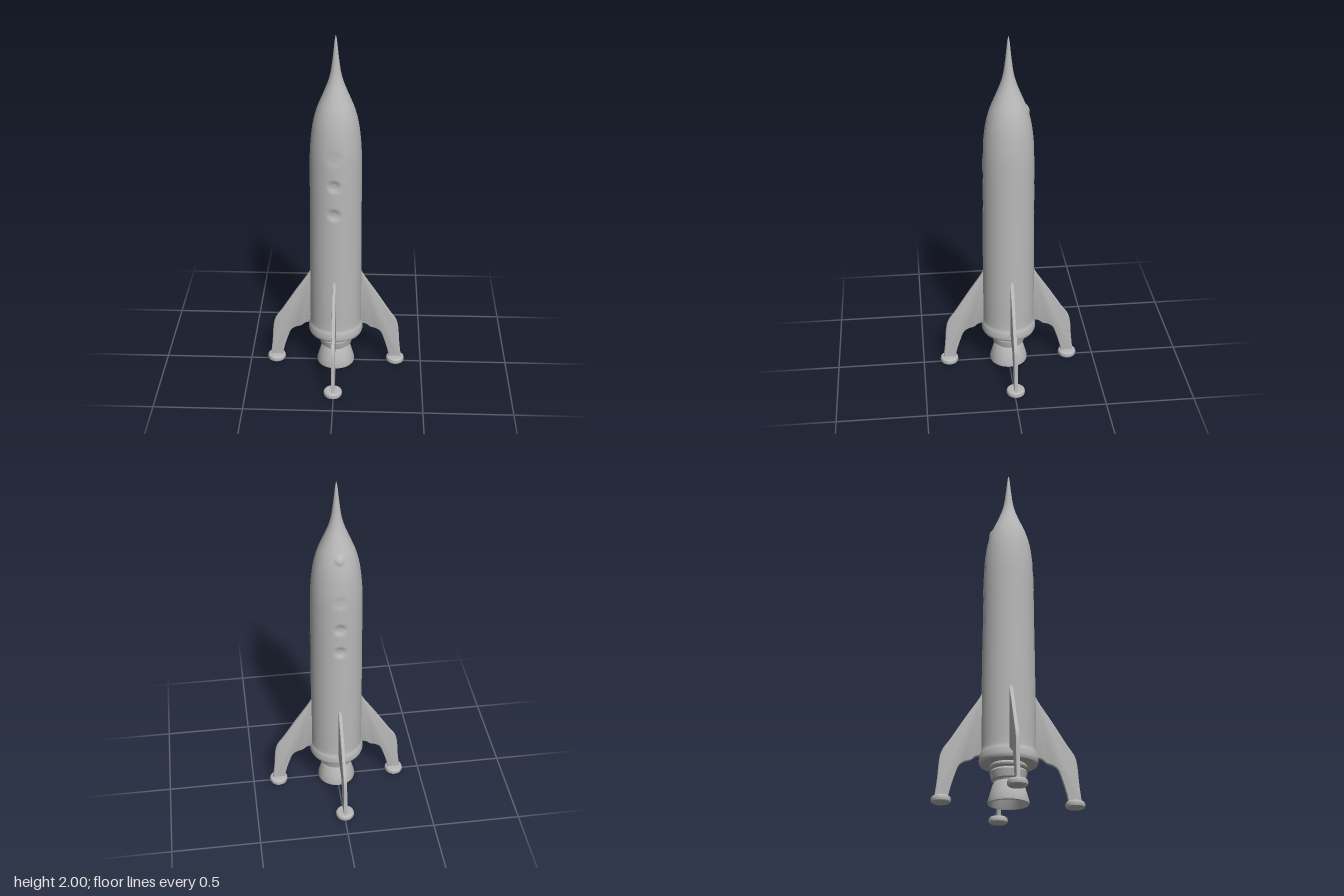
import * as THREE from 'three';
import { mergeVertices, toCreasedNormals } from 'three/addons/utils/BufferGeometryUtils.js';

const v = ([x, y]) => new THREE.Vector2(x, y);

export function createModel() {
  const rocket = new THREE.Group();
  rocket.name = 'rocket';
  const grey = new THREE.MeshStandardMaterial({ color: 0xb8b8b8 });
  grey.name = 'plain grey';

  const add = (name, geometry, parent = rocket) => {
    const mesh = new THREE.Mesh(geometry, grey);
    mesh.name = name;
    parent.add(mesh);
    return mesh;
  };
  const turned = (points, segments = 48) =>
    toCreasedNormals(new THREE.LatheGeometry(points.map(v), segments), 0.6);

  // Hull: one smooth turned skin from the flared skirt to the needle tip
  const profile = new THREE.SplineCurve([
    [0.15, 0.218], [0.156, 0.235], [0.153, 0.27], [0.146, 0.3], [0.146, 0.45], [0.145, 0.7],
    [0.143, 1.0], [0.142, 1.25], [0.139, 1.37], [0.13, 1.47], [0.118, 1.54], [0.101, 1.6],
    [0.081, 1.65], [0.06, 1.7], [0.041, 1.75], [0.028, 1.8], [0.019, 1.86], [0.012, 1.92],
    [0.006, 1.975], [0.0005, 2],
  ].map(v));
  let hull = new THREE.LatheGeometry(profile.getSpacedPoints(220), 96, Math.PI / 4);
  hull.deleteAttribute('uv');
  hull.deleteAttribute('normal');
  hull = mergeVertices(hull, 1e-5);

  // Sunken portholes front and back, and a small bump high on the back:
  // side, height, radius, depth
  const dents = [
    [1, 1.2, 0.03, -0.01], [1, 1.03, 0.03, -0.01], [1, 1.36, 0.04, -0.003],
    [-1, 1.18, 0.03, -0.01], [-1, 1.03, 0.03, -0.01], [-1, 1.35, 0.035, -0.004],
    [-1, 1.595, 0.022, 0.008],
  ];
  const pos = hull.attributes.position;
  for (let i = 0; i < pos.count; i++) {
    const x = pos.getX(i), y = pos.getY(i), z = pos.getZ(i);
    let push = 0;
    for (const [side, height, radius, depth] of dents) {
      if (z * side <= 0) continue;
      const d = Math.hypot(x + 0.004, y - height) / radius;
      push += depth * Math.exp(-(d ** 4));
    }
    const k = 1 + push / Math.max(Math.hypot(x, z), 0.01);
    pos.setXYZ(i, x * k, y, z * k);
  }
  hull.computeVertexNormals();
  add('hull', hull);
  add('hullUnderside', turned([[0, 0.218], [0.151, 0.218]], 96));

  // Engine: two collars and a hollow bell
  add('engine', turned([
    [0, 0.12], [0.055, 0.12], [0.075, 0.07], [0.096, 0.012], [0.1, 0.006],
    [0.108, 0.008], [0.109, 0.02], [0.098, 0.06], [0.085, 0.105], [0.076, 0.122],
    [0.08, 0.13], [0.09, 0.135], [0.099, 0.175], [0.094, 0.184], [0.075, 0.186],
    [0.078, 0.192], [0.097, 0.197], [0.1, 0.205], [0.098, 0.213], [0.085, 0.222],
  ]));

  // Landing leg: swept fin with a rounded foot
  const outline = new THREE.Shape();
  outline.moveTo(0.12, 0.63);
  outline.lineTo(0.141, 0.625);
  outline.splineThru([[0.16, 0.58], [0.235, 0.465], [0.31, 0.345], [0.35, 0.285],
    [0.365, 0.23], [0.373, 0.13], [0.385, 0.025]].map(v));
  outline.lineTo(0.315, 0.025);
  outline.splineThru([[0.3, 0.09], [0.28, 0.155], [0.262, 0.2], [0.235, 0.222],
    [0.2, 0.234], [0.178, 0.252], [0.15, 0.26]].map(v));
  outline.lineTo(0.12, 0.26);
  const finShape = new THREE.ExtrudeGeometry(outline, {
    depth: 0.008, bevelEnabled: true, bevelThickness: 0.006, bevelSize: 0.005,
    bevelOffset: -0.005, bevelSegments: 3, curveSegments: 32,
  });
  finShape.translate(0, 0, -0.004);
  const fin = toCreasedNormals(finShape, 0.7);
  const foot = turned([[0, 0], [0.044, 0], [0.05, 0.005], [0.053, 0.016], [0.05, 0.028],
    [0.043, 0.034], [0.02, 0.036], [0, 0.036]], 32);

  ['leftLeg', 'backLeg', 'rightLeg', 'frontLeg'].forEach((name, i) => {
    const leg = new THREE.Group();
    leg.name = name;
    add('fin', fin, leg);
    add('foot', foot, leg).position.x = 0.35;
    leg.rotation.y = i * Math.PI / 2;
    // The legs sit a touch off the centre lines
    leg.position.set(i % 2 ? -0.004 : 0, 0, i % 2 ? 0 : -0.006);
    rocket.add(leg);
  });

  return rocket;
}
